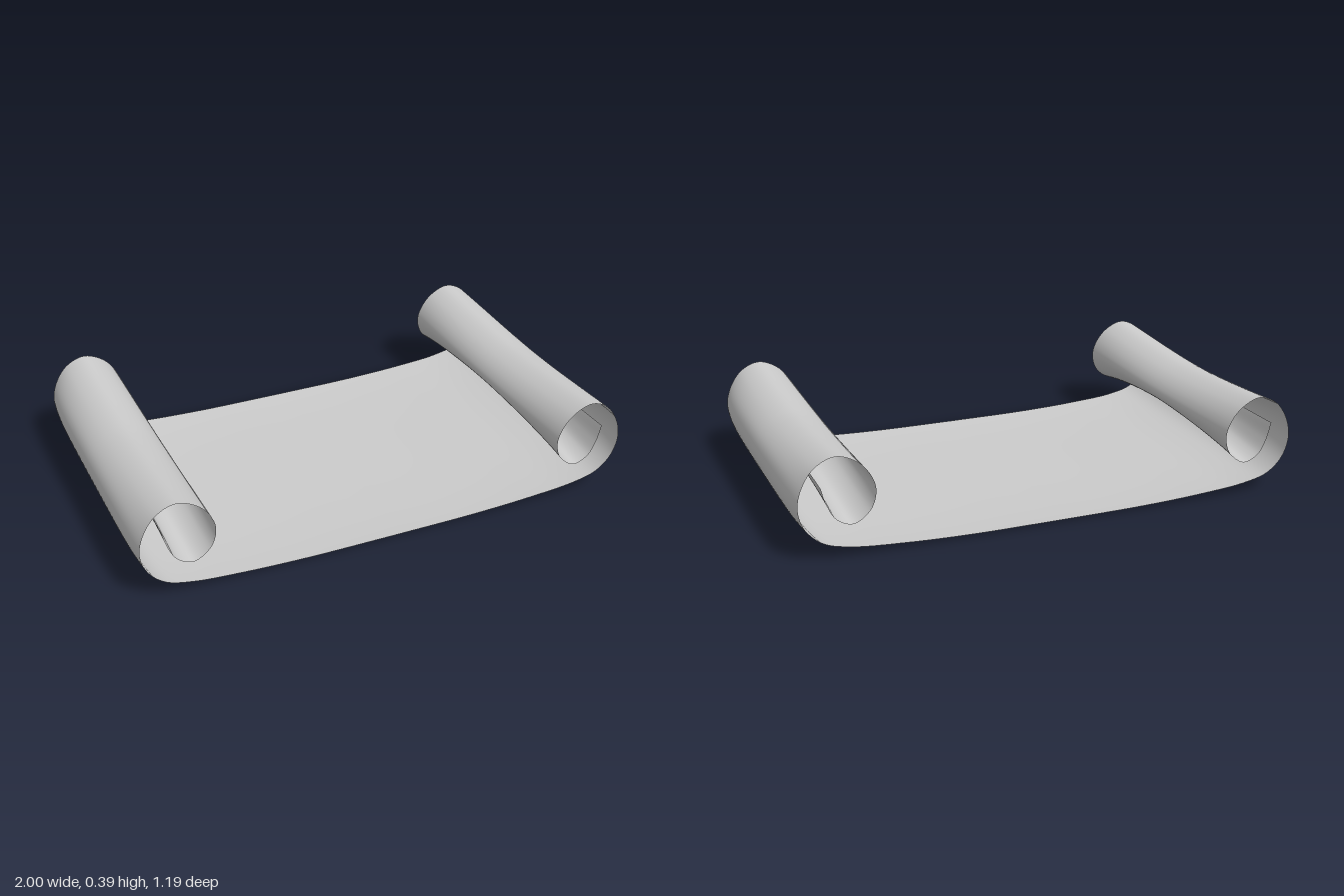
import * as THREE from 'three';

// Half profile of the sheet, from the middle of the floor to the inner lip of the scroll:
// [x, y] at the front and back edges, then [x, y] midway between them
const PROFILE = [
  [0, 0.014, 0, 0.003],
  [0.35, 0.016, 0.35, 0.006],
  [0.6, 0.026, 0.6, 0.015],
  [0.8, 0.044, 0.8, 0.032],
  [0.9, 0.072, 0.91, 0.062],
  [0.962, 0.13, 0.975, 0.125],
  [0.987, 0.21, 1, 0.205],
  [0.97, 0.29, 0.983, 0.275],
  [0.92, 0.36, 0.925, 0.33],
  [0.845, 0.39, 0.845, 0.355],
  [0.77, 0.36, 0.768, 0.332],
  [0.722, 0.305, 0.72, 0.29],
  [0.704, 0.245, 0.704, 0.248],
  [0.725, 0.175, 0.73, 0.212],
  [0.79, 0.13, 0.795, 0.188],
  [0.85, 0.155, 0.85, 0.205],
  [0.883, 0.21, 0.88, 0.237],
  [0.903, 0.28, 0.9, 0.28],
];
const HALF_DEPTH = 0.595;

const curveFrom = (k) => new THREE.CatmullRomCurve3(
  PROFILE.map((p) => new THREE.Vector3(p[k], p[k + 1], 0)), false, 'centripetal');

export function createModel() {
  const group = new THREE.Group();
  const edge = curveFrom(0);
  const middle = curveFrom(2);

  // One sheet: u runs across both mirrored scrolls, z runs front to back
  const sheet = new THREE.PlaneGeometry(2, 2, 240, 48);
  sheet.rotateX(-Math.PI / 2);
  const pos = sheet.attributes.position;
  for (let i = 0; i < pos.count; i++) {
    const u = pos.getX(i);
    const v = pos.getZ(i);
    const t = Math.abs(v);
    const a = edge.getPoint(Math.min(1, Math.abs(u)));
    const b = middle.getPoint(Math.min(1, Math.abs(u)));
    // The scrolls pinch gently in the middle; the floor only lifts near the edges
    const lift = THREE.MathUtils.smoothstep(b.y, 0.03, 0.2);
    const yBlend = THREE.MathUtils.lerp(t ** 4, t ** 1.6, lift);
    const x = THREE.MathUtils.lerp(b.x, a.x, t ** 6);
    const y = THREE.MathUtils.lerp(b.y, a.y, yBlend);
    pos.setXYZ(i, Math.sign(u) * x, y, v * HALF_DEPTH);
  }
  sheet.computeVertexNormals();

  const mesh = new THREE.Mesh(sheet, new THREE.MeshStandardMaterial({
    color: 0xcccccc, side: THREE.DoubleSide,
  }));
  mesh.name = 'scrolledSheet';
  group.add(mesh);
  return group;
}
